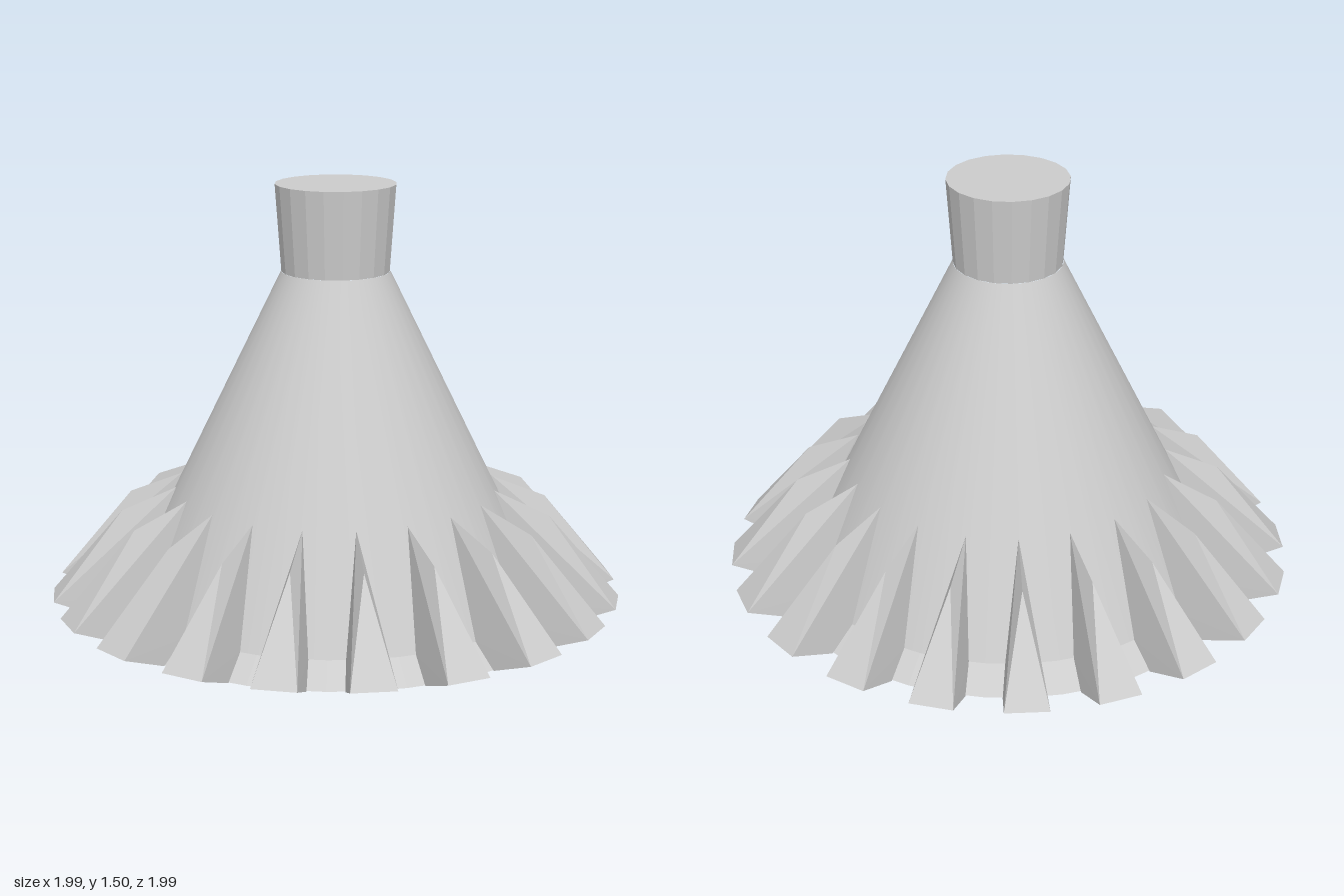
import * as THREE from 'three';

const TEETH = 20;

function part(name, geometry, material) {
  const mesh = new THREE.Mesh(geometry, material);
  mesh.name = name;
  return mesh;
}

// One tapered tooth pointing along +z: [half width, height, radius] corners
function toothGeometry() {
  const corners = [
    [0.075, 0.065, 0.995], [-0.075, 0.065, 0.995], // outer top edge
    [0.069, 0, 0.83], [-0.069, 0, 0.83],           // outer bottom edge
    [0.055, 0.07, 0.735], [-0.055, 0.07, 0.735],   // root on the cone
    [0, 0.367, 0.75],                              // ridge peak
    [0, 0.445, 0.56],                              // inner tip
  ];
  const faces = [
    0, 6, 1,                   // sloping land
    0, 1, 3, 0, 3, 2,          // end face
    0, 2, 4, 0, 4, 7, 0, 7, 6, // left flank
    1, 5, 3, 1, 7, 5, 1, 6, 7, // right flank
  ];
  const geometry = new THREE.BufferGeometry();
  geometry.setAttribute('position', new THREE.Float32BufferAttribute(faces.flatMap((i) => corners[i]), 3));
  geometry.computeVertexNormals();
  return geometry;
}

export function createModel() {
  const group = new THREE.Group();
  group.name = 'bevelPinion';
  const smooth = new THREE.MeshStandardMaterial({ color: 0xcccccc });
  const flat = new THREE.MeshStandardMaterial({ color: 0xcccccc, flatShading: true });

  // Smooth conical body
  const cone = part('coneBody', new THREE.CylinderGeometry(0.187, 0.738, 1.13, 40, 1, true), smooth);
  cone.position.y = 0.07 + 1.13 / 2;

  // Flared rim with the closed underside
  const rim = part('baseRim', new THREE.CylinderGeometry(0.738, 0.83, 0.07, 40), flat);
  rim.position.y = 0.035;

  // Slightly widening neck
  const neck = part('neck', new THREE.CylinderGeometry(0.208, 0.187, 0.3, 20), flat);
  neck.position.y = 1.35;
  group.add(cone, rim, neck);

  // Ring of teeth
  const tooth = toothGeometry();
  const ring = new THREE.Group();
  ring.name = 'toothRing';
  for (let i = 0; i < TEETH; i++) {
    const mesh = part('tooth', tooth, flat);
    mesh.rotation.y = (i / TEETH) * Math.PI * 2;
    ring.add(mesh);
  }
  group.add(ring);
  return group;
}
